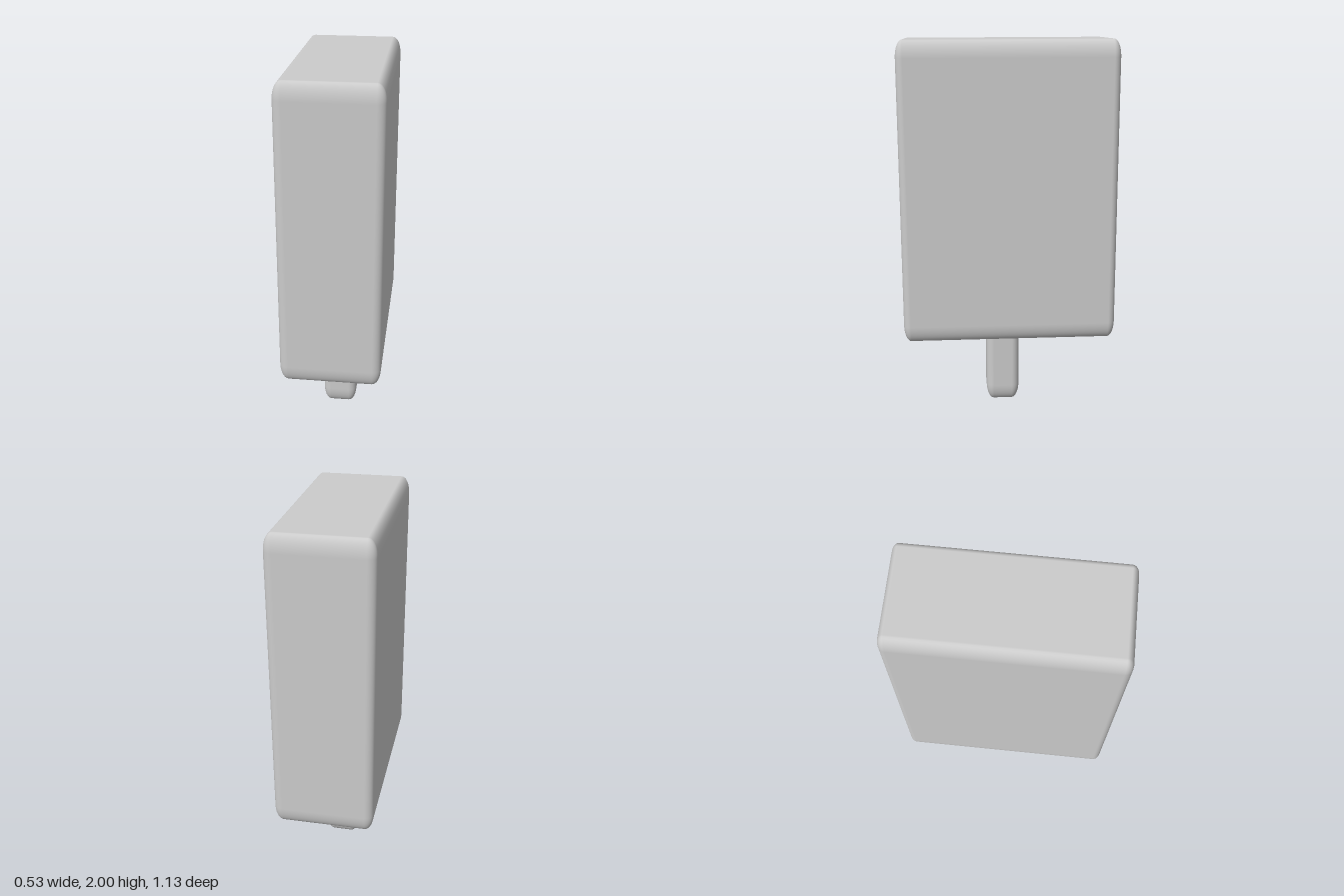
import * as THREE from 'three';
import { RoundedBoxGeometry } from 'three/addons/geometries/RoundedBoxGeometry.js';

const material = new THREE.MeshStandardMaterial({ color: 0xcccccc });

// Rounded block with a separate edge radius along each axis
function roundedBlock(name, size, radii, centre) {
  const [w, h, d] = size.map((s, i) => s / radii[i]);
  const geometry = new RoundedBoxGeometry(w, h, d, 5, 1);
  geometry.scale(...radii);
  const mesh = new THREE.Mesh(geometry, material);
  mesh.name = name;
  mesh.position.set(...centre);
  return mesh;
}

export function createModel() {
  const model = new THREE.Group();
  model.name = 'iceCreamBar';

  // Ice cream block, leaning very slightly
  const block = roundedBlock('iceCreamBlock', [0.522, 1.577, 1.128], [0.045, 0.09, 0.038], [0, 1.209, 0]);
  block.rotation.set(0.004, 0, -0.003);
  model.add(block);

  // Stick, its upper end buried in the block
  model.add(roundedBlock('stick', [0.185, 0.56, 0.18], [0.042, 0.09, 0.04], [-0.003, 0.28, 0.026]));

  return model;
}
